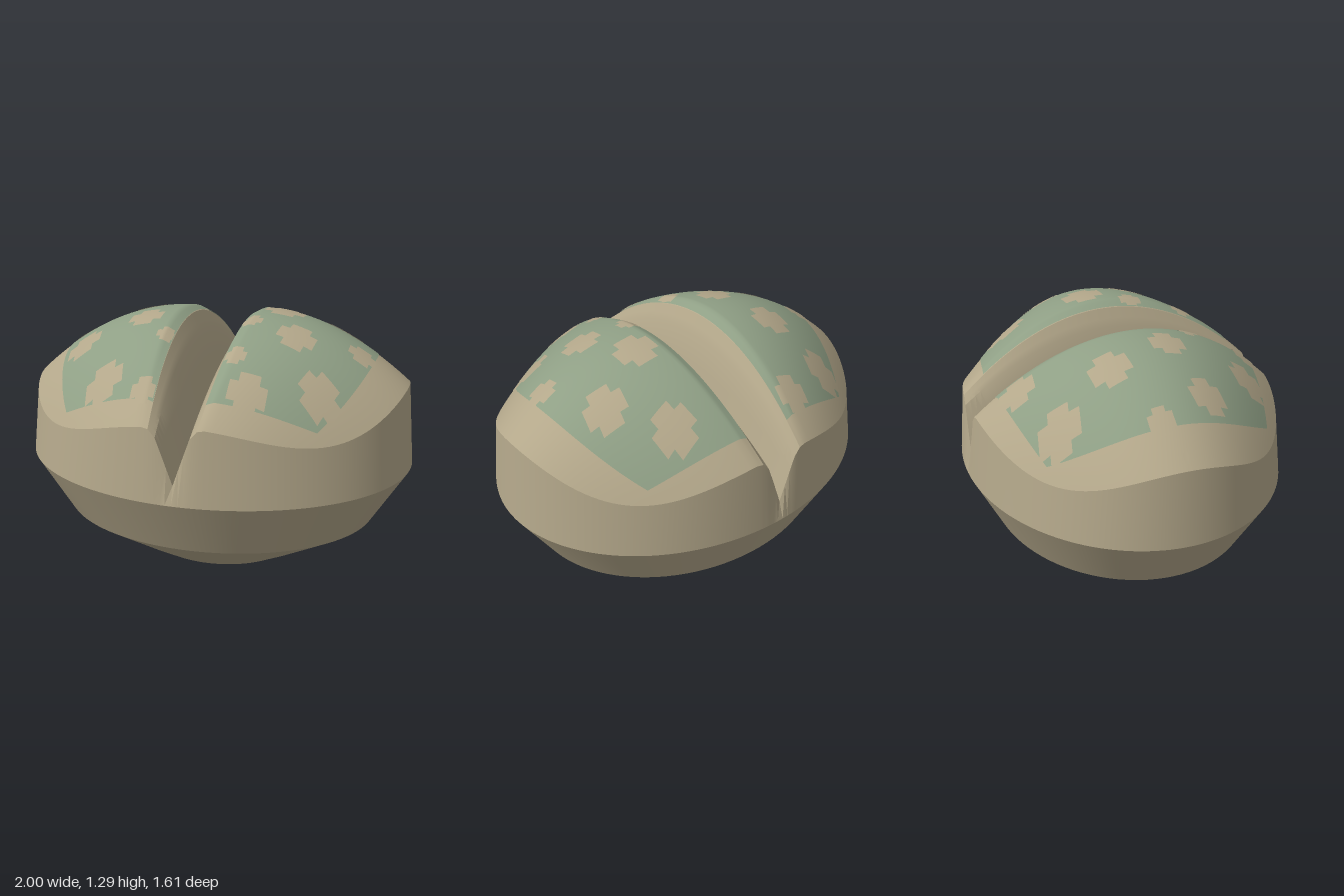
import * as THREE from 'three';
import { toCreasedNormals } from 'three/addons/utils/BufferGeometryUtils.js';

const RX = 0.965, RZ = 0.775;          // rim ellipse
const BELT_Y = 0.54, BELT_Z = 0.805;   // widest ring (x radius 1)
const tan = new THREE.MeshStandardMaterial({ color: 0xb3a78a, side: THREE.DoubleSide });
const green = new THREE.MeshStandardMaterial({ color: 0x8f9f85, side: THREE.DoubleSide });

// Height of the domed top, cut by a V groove along z
function height(u, z) {
  const s = Math.abs(u), left = u < 0;
  const out = Math.max(s - 0.2, 0);
  const dome = (left ? 1.27 : 1.28) - (left ? 0.61 : 0.54) * out * out
    - 0.59 * z * z - 1.1 * u * u * z * z;
  if (s >= 0.2) return dome;
  const floor = 0.72 - 0.09 * (z / RZ) ** 2;
  const knots = [[0, 0], [0.11, 0.8], [0.155, 0.955], [0.2, 1]];
  const k = s < 0.11 ? 0 : s < 0.155 ? 1 : 2;
  const t = (s - knots[k][0]) / (knots[k + 1][0] - knots[k][0]);
  return THREE.MathUtils.lerp(floor, dome, THREE.MathUtils.lerp(knots[k][1], knots[k + 1][1], t));
}

// The groove narrows towards its two ends
function warp(u, z) {
  const s = Math.abs(u), edge = 0.2 * (1 - 0.25 * (z / RZ) ** 2);
  const x = s < 0.2 ? s / 0.2 * edge : edge + (s - 0.2) / (RX - 0.2) * (RX - edge);
  return Math.sign(u) * x;
}

const onTop = (u, z, lift = 0) => new THREE.Vector3(warp(u, z), height(u, z) + lift, z);

// Depth at which a column of the top meets the rim ellipse
function rimZ(u) {
  let z = 0;
  for (let n = 0; n < 12; n++) z = RZ * Math.sqrt(Math.max(0, 1 - (warp(u, z) / RX) ** 2));
  return z;
}

// Indexed grid of points; faces look along (j direction) x (i direction)
function grid(ni, nj, point) {
  const pos = [], index = [];
  for (let i = 0; i <= ni; i++) {
    for (let j = 0; j <= nj; j++) {
      pos.push(...point(i, j).toArray());
      if (i < ni && j < nj) {
        const a = i * (nj + 1) + j, c = a + nj + 1;
        index.push(a, a + 1, c, c, a + 1, c + 1);
      }
    }
  }
  const g = new THREE.BufferGeometry();
  g.setAttribute('position', new THREE.Float32BufferAttribute(pos, 3));
  g.setIndex(index);
  g.computeVertexNormals();
  return g;
}

function add(parent, name, geometry, material) {
  const mesh = new THREE.Mesh(geometry, material);
  mesh.name = name;
  parent.add(mesh);
}

export function createModel() {
  const model = new THREE.Group();
  model.name = 'groovedPad';

  // Faceted oval bowl
  const profile = [[0, 0], [0.37, 0], [0.52, 0.08], [0.82, 0.25], [1, BELT_Y]];
  const bowl = new THREE.LatheGeometry(profile.map(p => new THREE.Vector2(...p)), 96);
  bowl.scale(1, 1, BELT_Z);
  add(model, 'lowerBowl', toCreasedNormals(bowl, 0.3), tan);

  // Columns across the top, closer together at the groove
  const half = [0.04, 0.075, 0.11, 0.13, 0.155, 0.175, 0.2];
  for (let i = 1; i <= 36; i++) half.push(0.2 + (RX - 0.2) * Math.sin(i / 36 * Math.PI / 2));
  const cols = [...half.map(u => -u).reverse(), 0, ...half];
  const ends = cols.map(rimZ);
  const rows = 56;
  const top = grid(cols.length - 1, rows, (i, j) => onTop(cols[i], ends[i] * (2 * j / rows - 1)));
  add(model, 'groovedTop', toCreasedNormals(top, 0.4), tan);

  // Side wall from the wavy rim down to the belt
  const rim = cols.map((u, i) => onTop(u, ends[i]));
  rim.push(...cols.map((u, i) => onTop(u, -ends[i])).reverse().slice(1));
  const wall = grid(rim.length - 1, 1, (i, j) => j === 0 ? rim[i]
    : new THREE.Vector3(rim[i].x / RX, BELT_Y, rim[i].z * BELT_Z / RZ));
  add(model, 'sideWall', toCreasedNormals(wall, 0.4), tan);

  // Green field on each half, with bowed edges
  for (const side of [-1, 1]) {
    const n = 40;
    const field = grid(n, n, (i, j) => {
      const a = side > 0 ? i / n : 1 - i / n, b = 2 * j / n - 1;
      const zEdge = 0.67 * b;
      let u = 0.155, z = zEdge;
      for (let k = 0; k < 8; k++) {
        u = 0.155 + a * (0.8 - 0.56 * z * z - 0.155);
        z = b * (0.67 - 0.3 * u * u);
      }
      return onTop(side * u, z, 0.004);
    });
    add(model, side > 0 ? 'leftGreenField' : 'rightGreenField', field, green);
  }

  // Stepped tan blotches: x, z, size, turn
  const blotches = [
    [-0.57, -0.47, 0.19, 0.2], [-0.45, -0.19, 0.19, -0.1], [-0.26, -0.58, 0.16, 0.1],
    [-0.35, 0.13, 0.17, 0], [-0.66, 0.21, 0.17, -0.2], [-0.44, 0.53, 0.18, -0.2],
    [-0.19, 0.3, 0.1, 0], [-0.77, -0.06, 0.12, 0], [-0.22, 0.62, 0.12, 0],
    [0.61, -0.23, 0.19, 0.2], [0.42, -0.48, 0.19, -0.15], [0.32, -0.08, 0.2, 0],
    [0.44, 0.2, 0.18, 0.1], [0.32, 0.58, 0.17, -0.1], [0.74, 0.09, 0.13, 0],
    [0.61, 0.43, 0.18, 0.35], [0.2, 0.14, 0.11, 0], [0.21, 0.42, 0.1, 0],
  ];
  const camo = new THREE.Group();
  camo.name = 'tanBlotches';
  model.add(camo);
  for (const [x, z, size, turn] of blotches) {
    for (const [w, d] of [[size, size * 0.5], [size * 0.55, size]]) {
      const n = 8, c = Math.cos(turn), s = Math.sin(turn);
      const patch = grid(n, n, (i, j) => {
        const p = (i / n - 0.5) * w, q = (j / n - 0.5) * d;
        const u = Math.sign(x) * Math.max(0.157, Math.abs(x + p * c - q * s));
        return onTop(u, z + p * s + q * c, 0.007);
      });
      add(camo, 'blotch', patch, tan);
    }
  }
  return model;
}
